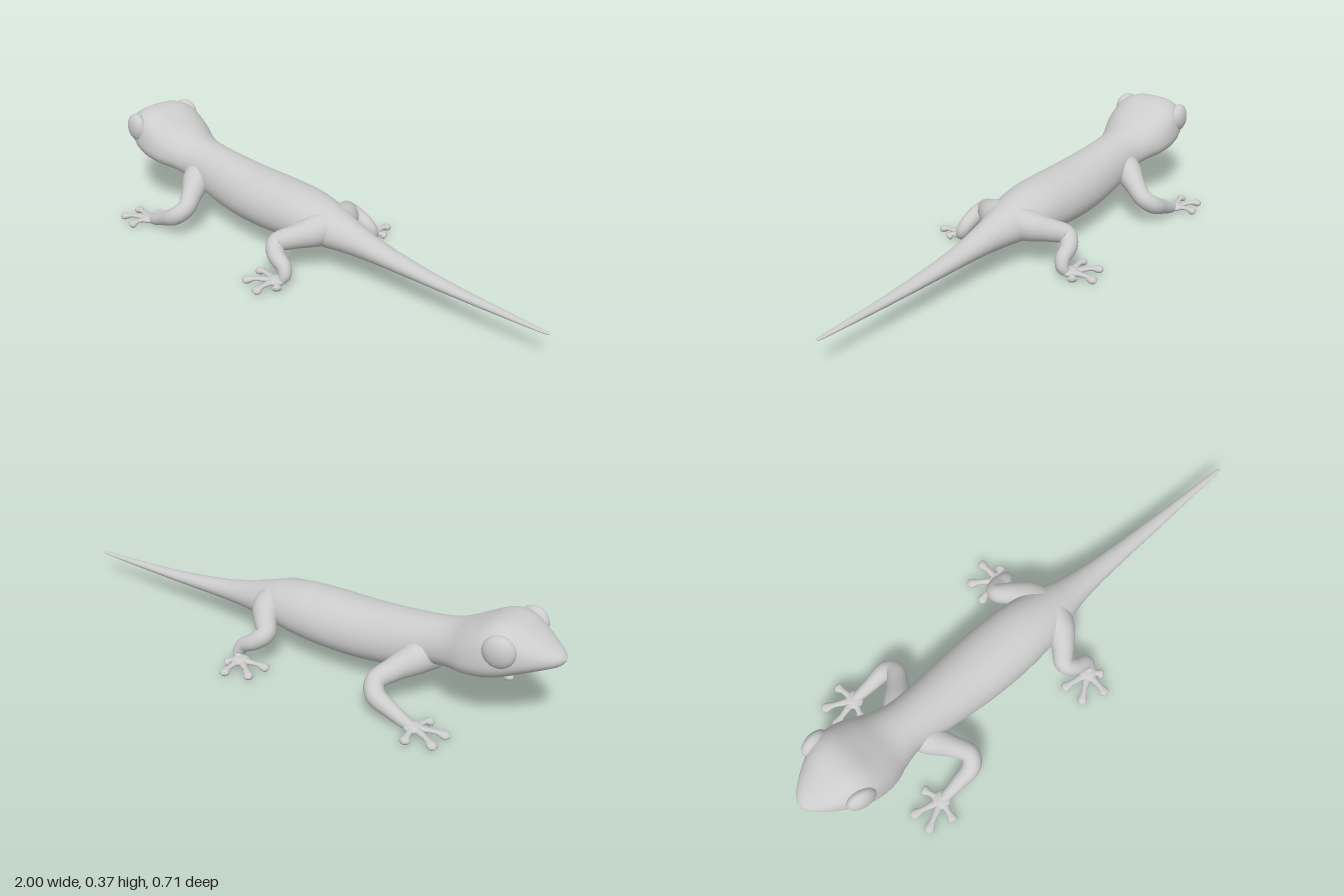
import * as THREE from 'three';

const skin = new THREE.MeshStandardMaterial({ color: 0xcccccc });

// Joins rows of rings (each an array of Vector3) into one smooth closed skin
function skinRings(rings, name) {
  const n = rings[0].length, pos = [], idx = [];
  rings.forEach(r => r.forEach(p => pos.push(p.x, p.y, p.z)));
  for (let i = 0; i < rings.length - 1; i++) {
    for (let j = 0; j < n; j++) {
      const a = i * n + j, b = i * n + (j + 1) % n;
      idx.push(a, b, a + n, b, b + n, a + n);
    }
  }
  const g = new THREE.BufferGeometry();
  g.setAttribute('position', new THREE.Float32BufferAttribute(pos, 3));
  g.setIndex(idx);
  g.computeVertexNormals();
  const mesh = new THREE.Mesh(g, skin);
  mesh.name = name;
  return mesh;
}

// Tapered limb: points are [x, y, z, radius]; flat squashes it vertically
function limb(points, name, steps = 32, sides = 16, flat = 1) {
  const curve = new THREE.CatmullRomCurve3(points.map(p => new THREE.Vector3(p[0], p[1], p[2])));
  const radii = new THREE.CatmullRomCurve3(points.map((p, i) => new THREE.Vector3(i, p[3], 0)), false, 'catmullrom');
  const frames = curve.computeFrenetFrames(steps);
  const rings = [];
  for (let i = 0; i <= steps; i++) {
    const t = curve.getUtoTmapping(i / steps);
    const c = curve.getPoint(t), r = Math.max(radii.getPoint(t).y, 0.0005), ring = [];
    for (let j = 0; j < sides; j++) {
      const a = j / sides * Math.PI * 2;
      const d = frames.normals[i].clone().multiplyScalar(Math.cos(a) * r)
        .addScaledVector(frames.binormals[i], Math.sin(a) * r);
      d.y *= flat;
      ring.push(c.clone().add(d));
    }
    rings.push(ring);
  }
  return skinRings(rings, name);
}

// Head, trunk and tail as one skin: x, bottom, top, half width, squareness, top narrowing
const stations = [
  [-1.0, 0.279, 0.281, 0.002, 2, 0],
  [-0.985, 0.258, 0.298, 0.034, 2.1, 0],
  [-0.95, 0.242, 0.318, 0.068, 2.2, 0.05],
  [-0.90, 0.222, 0.348, 0.103, 2.4, 0.08],
  [-0.84, 0.198, 0.374, 0.131, 2.8, 0.08],
  [-0.78, 0.180, 0.372, 0.144, 2.8, 0.1],
  [-0.71, 0.165, 0.340, 0.138, 2.5, 0.12],
  [-0.64, 0.152, 0.306, 0.112, 2.2, 0.12],
  [-0.57, 0.130, 0.291, 0.095, 2.1, 0.12],
  [-0.48, 0.092, 0.280, 0.098, 2.1, 0.12],
  [-0.38, 0.070, 0.269, 0.107, 2.1, 0.1],
  [-0.27, 0.061, 0.261, 0.116, 2.1, 0.1],
  [-0.15, 0.061, 0.257, 0.120, 2.1, 0.1],
  [-0.03, 0.068, 0.252, 0.114, 2.1, 0.1],
  [0.06, 0.076, 0.238, 0.102, 2, 0.1],
  [0.13, 0.080, 0.218, 0.084, 2, 0.1],
  [0.21, 0.083, 0.192, 0.062, 2, 0.05],
  [0.32, 0.085, 0.163, 0.046, 2, 0],
  [0.46, 0.085, 0.140, 0.035, 2, 0],
  [0.62, 0.085, 0.122, 0.026, 2, 0],
  [0.80, 0.086, 0.110, 0.016, 2, 0],
  [0.95, 0.090, 0.102, 0.010, 2, 0],
  [0.99, 0.092, 0.100, 0.006, 2, 0],
  [1.0, 0.0955, 0.0965, 0.001, 2, 0],
];

function makeBody() {
  const spline = (a, b, c) => new THREE.CatmullRomCurve3(
    stations.map(s => new THREE.Vector3(s[a], s[b], s[c])), false, 'catmullrom');
  const profile = spline(0, 1, 2), shape = spline(3, 4, 5);
  const steps = 138, sides = 40, rings = [];
  const power = (v, e) => Math.sign(v) * Math.pow(Math.abs(v), 2 / e);
  for (let i = 0; i <= steps; i++) {
    const p = profile.getPoint(i / steps), q = shape.getPoint(i / steps), ring = [];
    for (let j = 0; j < sides; j++) {
      const a = j / sides * Math.PI * 2;
      const u = power(Math.cos(a), q.y), v = power(Math.sin(a), q.y);
      ring.push(new THREE.Vector3(p.x, (p.y + p.z) / 2 + u * (p.z - p.y) / 2, v * q.x * (1 - q.z * u)));
    }
    rings.push(ring);
  }
  return skinRings(rings, 'body');
}

// Foot: flat palm with slender toes ending in round pads; tips are [x, z]
function makeFoot(name, x, z, tips) {
  const foot = new THREE.Group();
  foot.name = name;
  const palm = new THREE.Mesh(new THREE.SphereGeometry(1, 20, 12), skin);
  palm.name = 'palm';
  palm.scale.set(0.034, 0.014, 0.034);
  palm.position.set(x, 0.021, z);
  foot.add(palm);
  tips.forEach(([tx, tz]) => {
    const at = (t, y, r) => [x + (tx - x) * t, y, z + (tz - z) * t, r];
    foot.add(limb([at(0, 0.021, 0.016), at(0.35, 0.022, 0.012), at(0.62, 0.022, 0.010),
      at(0.84, 0.016, 0.018), at(0.95, 0.014, 0.014), at(1, 0.013, 0.001)], 'toe', 20, 12, 0.7));
  });
  return foot;
}

function makeSide(name) {
  const side = new THREE.Group();
  side.name = name;

  // Eye bulging from the side of the head
  const eye = new THREE.Mesh(new THREE.SphereGeometry(1, 32, 20), skin);
  eye.name = 'eye';
  eye.scale.set(0.054, 0.054, 0.03);
  eye.position.set(-0.832, 0.307, 0.123);
  eye.rotation.y = -0.15;
  side.add(eye);

  // Front leg sweeps back to the elbow, then forward to the hand
  side.add(limb([[-0.55, 0.175, 0.03, 0.065], [-0.525, 0.16, 0.085, 0.055], [-0.485, 0.135, 0.145, 0.040],
    [-0.452, 0.105, 0.205, 0.034], [-0.475, 0.078, 0.236, 0.034], [-0.54, 0.048, 0.242, 0.027],
    [-0.60, 0.025, 0.245, 0.020], [-0.635, 0.021, 0.247, 0.010]], 'frontLeg', 44, 20));
  side.add(makeFoot('frontFoot', -0.625, 0.245,
    [[-0.64, 0.332], [-0.735, 0.30], [-0.742, 0.215], [-0.65, 0.168]]));

  // Hind leg sweeps forward to the knee, then back to the ankle
  side.add(limb([[0.10, 0.155, 0.02, 0.065], [0.085, 0.15, 0.08, 0.055], [0.05, 0.137, 0.135, 0.042],
    [0.012, 0.118, 0.185, 0.034], [0.04, 0.092, 0.212, 0.031], [0.088, 0.062, 0.220, 0.026],
    [0.097, 0.033, 0.232, 0.021], [0.078, 0.021, 0.25, 0.010]], 'hindLeg', 44, 20));
  side.add(makeFoot('hindFoot', 0.075, 0.248,
    [[0.118, 0.285], [0.073, 0.353], [-0.022, 0.318], [-0.036, 0.228]]));
  return side;
}

export function createModel() {
  const model = new THREE.Group();
  model.name = 'lizard';
  model.add(makeBody());

  // Near side, and its mirror copy with the geometry flipped in z
  model.add(makeSide('nearSide'));
  const far = makeSide('farSide');
  far.scale.z = -1;
  model.add(far);
  return model;
}
